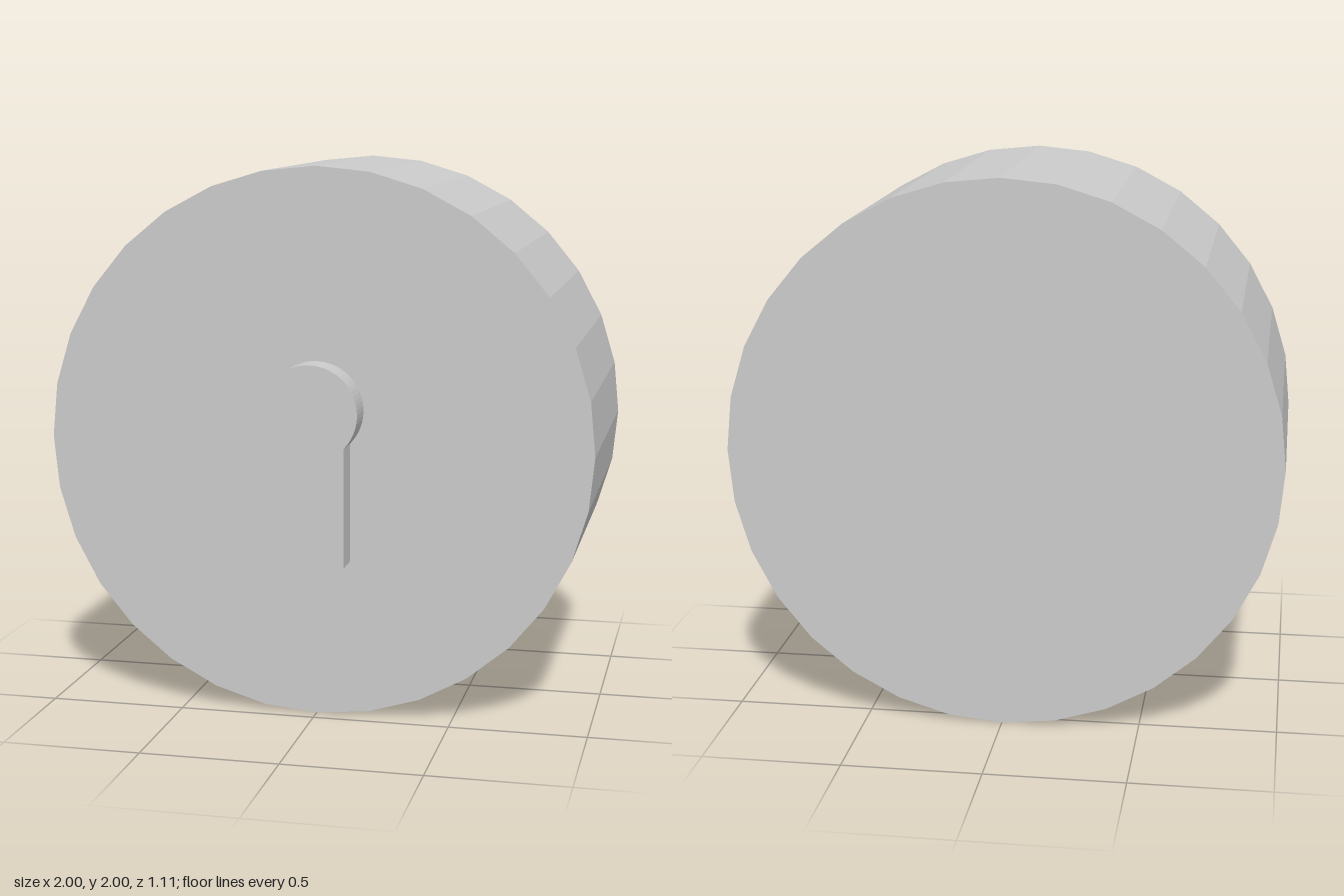
import * as THREE from 'three';

const material = new THREE.MeshStandardMaterial({ color: 0xcccccc, flatShading: true });

export function createModel() {
  const group = new THREE.Group();
  group.name = 'lockCylinder';

  // Faceted drum lying along z
  const drum = new THREE.Mesh(new THREE.CylinderGeometry(1, 1, 1, 32).rotateX(Math.PI / 2), material);
  drum.name = 'drum';
  drum.position.set(0, 1, -0.055);
  group.add(drum);

  // Raised keyhole: round head over a straight slot
  const radius = 0.174, headY = 1.135, halfSlot = 0.125, bottom = 0.58;
  const end = -Math.acos(halfSlot / radius); // where the head meets the slot's right edge
  const outline = new THREE.Shape();
  outline.moveTo(-halfSlot, bottom);
  outline.lineTo(halfSlot, bottom);
  outline.absarc(0, headY, radius, end, Math.PI - end, false);
  outline.closePath();

  const keyhole = new THREE.Mesh(
    new THREE.ExtrudeGeometry(outline, { depth: 0.125, bevelEnabled: false, curveSegments: 24 }),
    material
  );
  keyhole.name = 'keyhole';
  keyhole.position.z = 0.43; // slightly sunk into the drum
  group.add(keyhole);

  return group;
}
